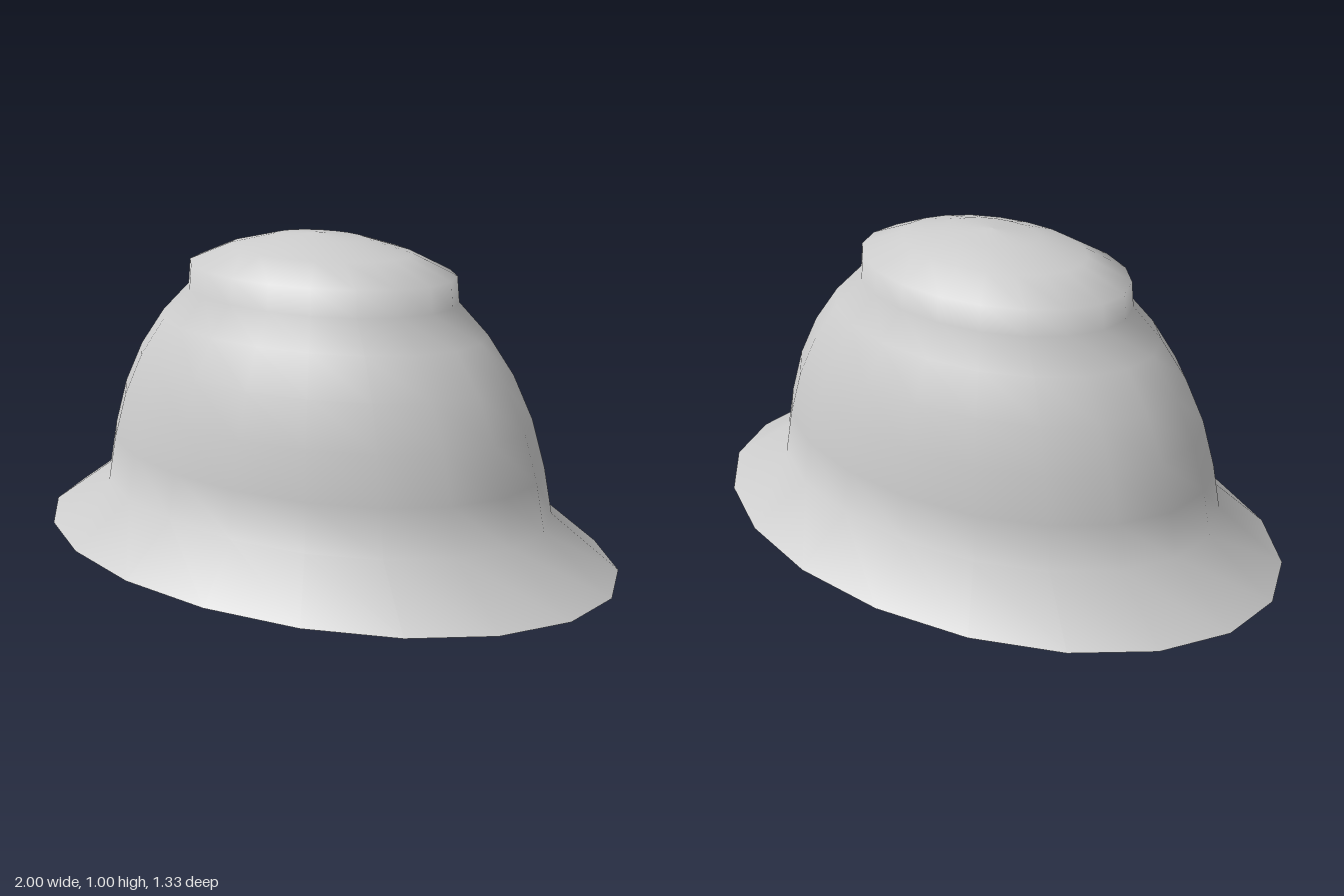
import * as THREE from 'three';

export function createModel() {
  const group = new THREE.Group();
  const material = new THREE.MeshStandardMaterial({ color: 0xcccccc, side: THREE.DoubleSide });

  // Half profile, from the brim edge up to the centre of the top
  const profile = [
    [1, 0], [0.78, 0.16],                                            // flared brim
    [0.75, 0.31], [0.705, 0.46], [0.64, 0.595], [0.555, 0.715], [0.46, 0.81], // crown
    [0.452, 0.89],                                                   // upright band
    [0.31, 0.95], [0.155, 0.988], [0, 1],                            // domed cap
  ].map(([r, y]) => new THREE.Vector2(r, y));

  // Thin open shell, turned in 20 sides and squeezed to an oval
  const geometry = new THREE.LatheGeometry(profile, 20);
  geometry.scale(1, 1, 0.665);

  const shell = new THREE.Mesh(geometry, material);
  shell.name = 'hatShell';
  group.add(shell);
  return group;
}
